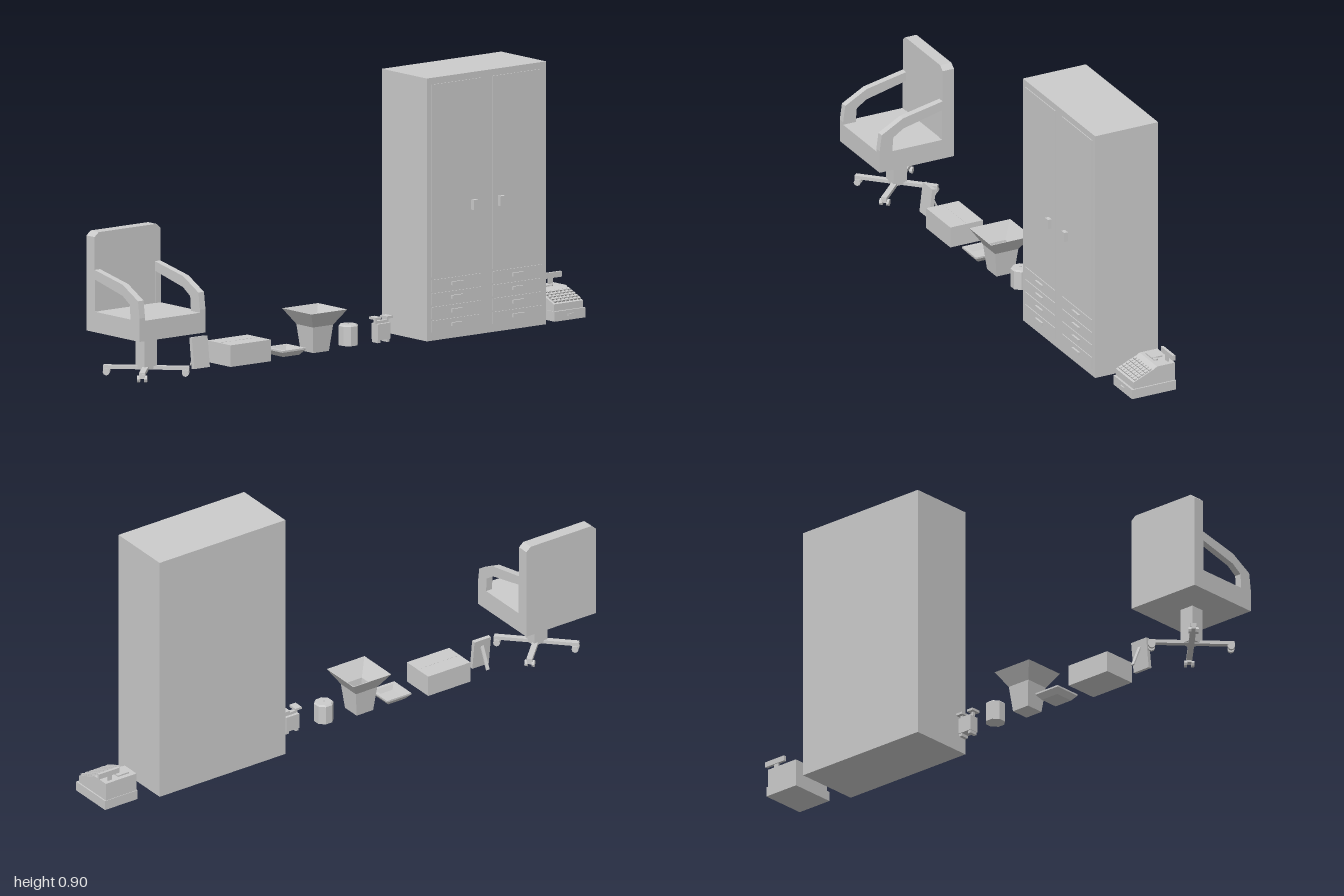
import * as THREE from 'three';

const mat = new THREE.MeshStandardMaterial({ color: 0xcccccc, flatShading: true, side: THREE.DoubleSide });

function add(parent, name, geo, x = 0, y = 0, z = 0) {
  const m = new THREE.Mesh(geo, mat);
  m.name = name;
  m.position.set(x, y, z);
  parent.add(m);
  return m;
}

// Box given by its min and max on each axis
function box(parent, name, x0, x1, y0, y1, z0, z1) {
  return add(parent, name, new THREE.BoxGeometry(x1 - x0, y1 - y0, z1 - z0),
    (x0 + x1) / 2, (y0 + y1) / 2, (z0 + z1) / 2);
}

const vecs = (pts) => pts.map(([x, y]) => new THREE.Vector2(x, y));

function extrude(pts, depth, hole) {
  const s = new THREE.Shape(vecs(pts));
  if (hole) s.holes.push(new THREE.Path(vecs(hole)));
  return new THREE.ExtrudeGeometry(s, { depth, bevelEnabled: false });
}

// Square vessel from a profile of [half width, height]
function squareVessel(pts) {
  const g = new THREE.LatheGeometry(vecs(pts.map(([w, y]) => [w * Math.SQRT2, y])), 4);
  return g.rotateY(Math.PI / 4);
}

function group(parent, name, x, z) {
  const g = new THREE.Group();
  g.name = name;
  g.position.set(x, 0, z);
  parent.add(g);
  return g;
}

function officeChair(root) {
  const g = group(root, 'officeChair', 0, 0.857);
  const h = 0.143;
  box(g, 'seat', -0.1, 0.14, 0.15, 0.22, -h + 0.02, h - 0.02);
  // backrest with clipped top corners
  const back = add(g, 'backrest', extrude([[-h, 0.15], [h, 0.15], [h, 0.475], [h - 0.018, 0.49],
    [-h + 0.018, 0.49], [-h, 0.475]], 0.043), -0.1);
  back.rotation.y = -Math.PI / 2;
  // armrests with an opening
  const arm = extrude(
    [[-0.1, 0.15], [0.14, 0.15], [0.14, 0.23], [0.132, 0.288], [0.05, 0.333], [-0.1, 0.363]], 0.024,
    [[-0.098, 0.22], [-0.098, 0.33], [0.05, 0.295], [0.088, 0.27], [0.092, 0.22]]);
  add(g, 'armrest', arm, 0, 0, h - 0.024);
  add(g, 'armrest', arm, 0, 0, -h);
  box(g, 'post', -0.025, 0.025, 0.025, 0.15, -0.027, 0.027);
  // four diagonal legs with casters
  for (let i = 0; i < 4; i++) {
    const leg = group(g, 'baseLeg', 0, 0);
    leg.rotation.y = Math.PI / 4 + i * Math.PI / 2;
    box(leg, 'legBar', 0, 0.145, 0.022, 0.034, -0.01, 0.01);
    box(leg, 'casterFork', 0.122, 0.146, 0.014, 0.03, -0.008, 0.008);
    for (const s of [-1, 1]) {
      const w = add(leg, 'casterWheel', new THREE.CylinderGeometry(0.012, 0.012, 0.01, 8), 0.134, 0.012, s * 0.012);
      w.rotation.x = Math.PI / 2;
    }
  }
}

function photoFrame(root) {
  const g = group(root, 'photoFrame', 0, 0.628);
  const panel = box(g, 'framePanel', -0.004, 0.01, 0.0, 0.107, -0.034, 0.034);
  panel.rotation.z = 0.12;
  const leg = box(g, 'frameLeg', -0.025, -0.02, 0, 0.085, -0.006, 0.006);
  leg.rotation.z = -0.42;
}

function tissueBox(root) {
  const g = group(root, 'slottedBox', -0.005, 0.45);
  box(g, 'boxBody', -0.062, 0.062, 0, 0.074, -0.087, 0.087);
  for (let i = 0; i < 9; i++) {
    const z = -0.072 + i * 0.018;
    box(g, 'slotMark', -0.001, 0.001, 0.074, 0.075, z - 0.005, z + 0.005);
  }
}

function vessels(root) {
  const tray = group(root, 'tray', -0.005, 0.252);
  add(tray, 'trayBody', squareVessel([[0, 0.002], [0.035, 0.002], [0.05, 0.02], [0.05, 0.026],
    [0.038, 0.026], [0.028, 0.01], [0, 0.01]]));
  const basket = group(root, 'wasteBasket', -0.006, 0.121);
  add(basket, 'basketBody', squareVessel([[0, 0], [0.034, 0], [0.044, 0.09], [0.078, 0.143],
    [0.075, 0.143], [0.039, 0.09], [0.03, 0.012], [0, 0.012]]));
}

function canister(root) {
  const g = group(root, 'canister', -0.005, -0.024);
  add(g, 'canisterBody', new THREE.CylinderGeometry(0.034, 0.034, 0.066, 8).rotateY(Math.PI / 8), 0, 0.037, 0);
  add(g, 'canisterLid', new THREE.CylinderGeometry(0.029, 0.034, 0.005, 8).rotateY(Math.PI / 8), 0, 0.0725, 0);
  add(g, 'lidKnob', new THREE.CylinderGeometry(0.003, 0.003, 0.004, 6), 0, 0.077, 0);
}

function scale(root) {
  const g = group(root, 'dispenser', 0.005, -0.157);
  box(g, 'dispenserBody', -0.018, 0.018, 0.01, 0.065, -0.027, 0.027);
  for (const s of [-1, 1]) {
    box(g, 'foot', -0.015, 0.015, 0, 0.01, s * 0.02 - 0.006, s * 0.02 + 0.006);
    box(g, 'upright', -0.005, 0.005, 0.065, 0.08, s * 0.024 - 0.004, s * 0.024 + 0.004);
    box(g, 'topPlate', -0.018, 0.018, 0.08, 0.088, s * 0.024 - 0.013, s * 0.024 + 0.013);
  }
  box(g, 'topBridge', -0.007, 0.007, 0.065, 0.074, -0.024, 0.024);
}

function cabinet(root) {
  const g = group(root, 'cabinet', 0, -0.526);
  box(g, 'carcass', -0.125, 0.115, 0.004, 0.903, -0.259, 0.259);
  for (const s of [-1, 1]) {
    const c = s * 0.132;
    box(g, 'door', 0.115, 0.118, 0.22, 0.88, c - 0.107, c + 0.107);
    box(g, 'doorHandle', 0.118, 0.132, 0.434, 0.468, s * 0.058 - 0.011, s * 0.058 + 0.011);
    // drawers under each door
    for (let i = 0; i < 4; i++) {
      const y = 0.032 + i * 0.0465;
      box(g, 'drawer', 0.115, 0.118, y, y + 0.04, c - 0.107, c + 0.107);
      box(g, 'drawerHandle', 0.118, 0.125, y + 0.014, y + 0.026, c - 0.024, c + 0.024);
    }
  }
}

function cashRegister(root) {
  const g = group(root, 'cashRegister', 0, -0.918);
  box(g, 'cashDrawer', -0.088, 0.08, 0, 0.034, -0.066, 0.068);
  box(g, 'drawerPull', 0.08, 0.085, 0.014, 0.022, -0.012, 0.012);
  // body sloping down towards the keys
  add(g, 'registerBody', extrude([[-0.086, 0.034], [0.072, 0.034], [0.072, 0.058], [-0.005, 0.09],
    [-0.018, 0.098], [-0.086, 0.098]], 0.126), 0, 0, -0.061);
  const pad = group(g, 'keypad', 0, 0);
  pad.position.set(0.033, 0.0755, 0);
  pad.rotation.z = -Math.atan2(0.032, 0.077);
  for (let i = 0; i < 5; i++) {
    for (let j = 0; j < 7; j++) {
      const x = -0.03 + i * 0.015, z = -0.051 + j * 0.017;
      box(pad, 'key', x - 0.005, x + 0.005, -0.002, 0.005, z - 0.006, z + 0.006);
    }
  }
  // paper slot, lock and customer display
  box(g, 'paperSlot', -0.07, -0.03, 0.098, 0.103, 0.0, 0.045);
  add(g, 'lock', new THREE.CylinderGeometry(0.009, 0.009, 0.006, 8), -0.038, 0.1, -0.01);
  box(g, 'displayPole', -0.073, -0.067, 0.098, 0.118, -0.044, -0.026);
  box(g, 'display', -0.076, -0.066, 0.117, 0.136, -0.082, 0.003);
}

export function createModel() {
  const root = new THREE.Group();
  root.name = 'shopFurniture';
  [officeChair, photoFrame, tissueBox, vessels, canister, scale, cabinet, cashRegister].forEach((f) => f(root));
  return root;
}
